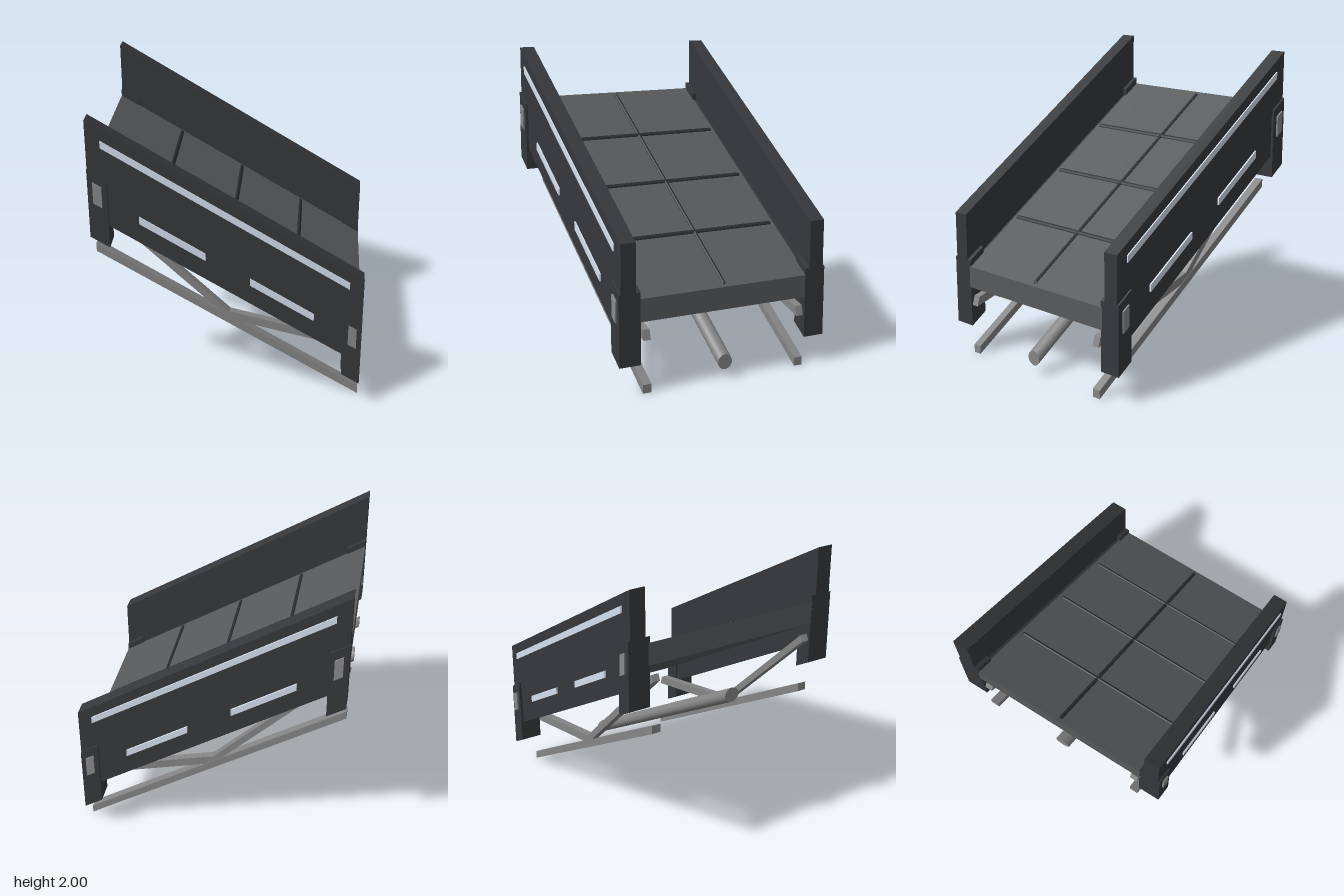
import * as THREE from 'three';

const SLOPE = -0.6; // drop in y per unit of x

export function createModel() {
  const model = new THREE.Group();
  model.name = 'slopedWalkway';

  const mat = (color) => new THREE.MeshStandardMaterial({ color });
  const dark = mat(0x36383b);
  const deckGrey = mat(0x58595b);
  const seamDark = mat(0x2b2d31);
  const steel = mat(0x858585);
  const light = mat(0xd4e0ee);
  const lampGrey = mat(0x8a8a8a);

  // Everything is laid out level, then slanted with a vertical shear.
  const shear = new THREE.Matrix4().set(
    1, 0, 0, 0,
    SLOPE, 1, 0, 0,
    0, 0, 1, 0,
    0, 0, 0, 1);

  function add(name, geometry, material) {
    const mesh = new THREE.Mesh(geometry.applyMatrix4(shear), material);
    mesh.name = name;
    model.add(mesh);
  }

  // Box from its lower and upper limits on each axis
  function box(name, material, x0, x1, y0, y1, z0, z1) {
    const g = new THREE.BoxGeometry(x1 - x0, y1 - y0, Math.abs(z1 - z0));
    add(name, g.translate((x0 + x1) / 2, (y0 + y1) / 2, (z0 + z1) / 2), material);
  }

  // Deck slab
  box('deck', deckGrey, -0.86, 0.86, 0.98, 1.127, -0.6, 0.6);

  // Raised seams on the deck
  for (const x of [-0.43, 0, 0.43]) {
    const g = new THREE.CapsuleGeometry(0.012, 1.136, 4, 8).rotateX(Math.PI / 2);
    add('crossSeam', g.translate(x, 1.127, 0), seamDark);
  }
  add('longSeam', new THREE.CapsuleGeometry(0.012, 1.656, 4, 8)
    .rotateZ(Math.PI / 2).translate(0, 1.127, 0), seamDark);

  // Central pipe under the deck
  add('centralPipe', new THREE.CylinderGeometry(0.05, 0.05, 1.72, 24)
    .rotateZ(Math.PI / 2).translate(0, 0.63, 0), steel);

  for (const s of [1, -1]) {
    // Side wall in two tiers
    box('upperWall', dark, -0.86, 0.86, 1.12, 1.485, s * 0.62, s * 0.722);
    box('lowerWall', dark, -0.86, 0.86, 0.85, 1.12, s * 0.6, s * 0.718);

    // Light strips on the outer face
    box('upperLightStrip', light, -0.77, 0.77, 1.365, 1.411, s * 0.715, s * 0.731);
    for (const [x0, x1] of [[-0.55, -0.14], [0.14, 0.55]]) {
      box('lowerLightStrip', light, x0, x1, 0.988, 1.036, s * 0.71, s * 0.729);
    }

    // Lower truss rail
    box('trussRail', steel, -0.86, 0.86, 0.516, 0.572, s * 0.52, s * 0.578);

    for (const e of [1, -1]) {
      // End post with its lamp
      const px = e * 0.8;
      box('endPost', dark, px - 0.06, px + 0.06, 0.705, 1.17, s * 0.59, s * 0.735);
      box('postLamp', lampGrey, px - 0.027, px + 0.027, 0.965, 1.105, s * 0.725, s * 0.746);

      // Diagonal brace from the rail's middle to the deck's end
      const dx = 0.857, y0 = 0.58, y1 = 0.89;
      const brace = new THREE.BoxGeometry(Math.hypot(dx, y1 - y0), 0.055, 0.05);
      brace.rotateZ(e * Math.atan2(y1 - y0, dx));
      add('diagonalBrace', brace.translate(e * dx / 2, (y0 + y1) / 2, s * 0.55), steel);
    }
  }

  return model;
}
